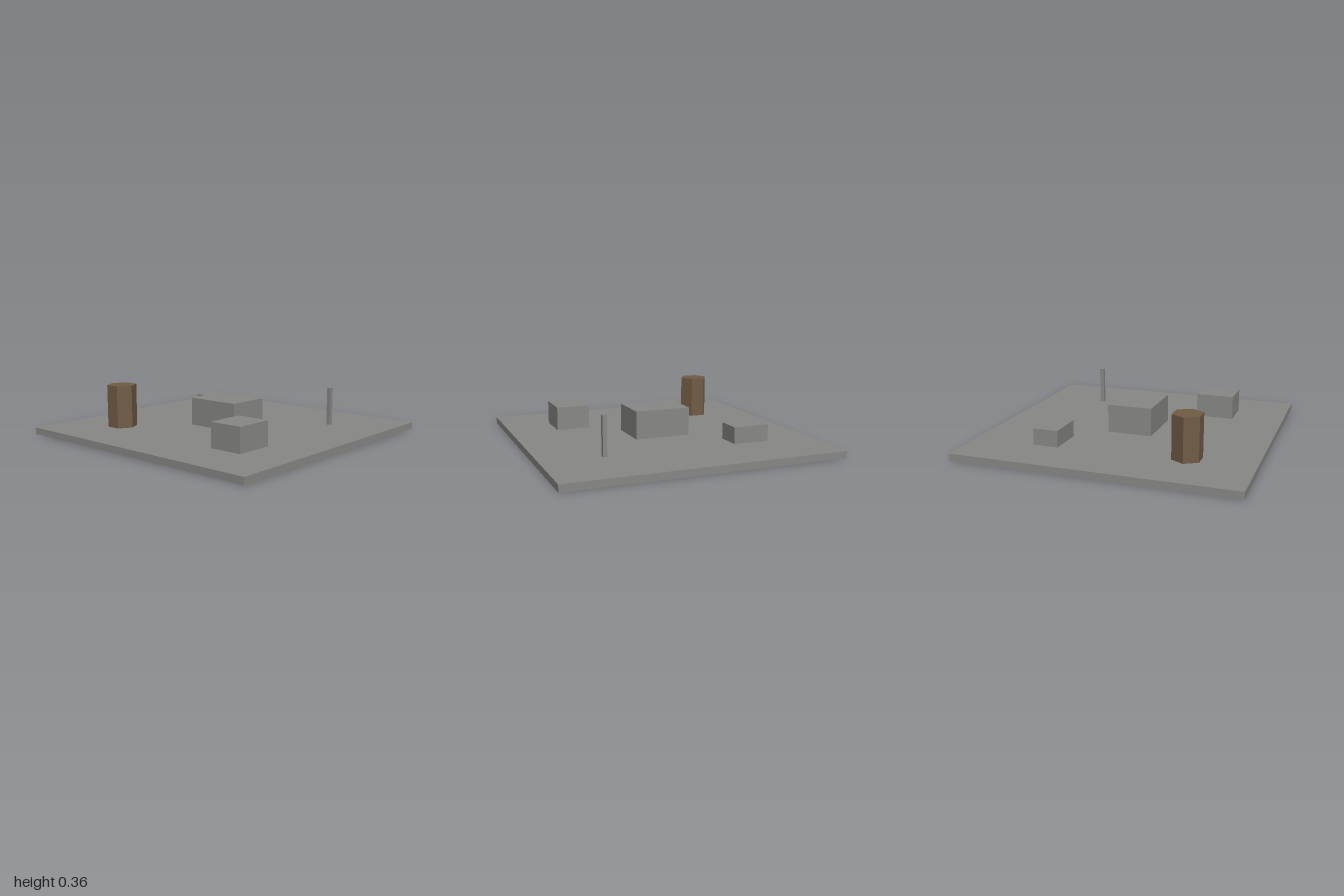
import * as THREE from 'three';

export function createModel() {
  const model = new THREE.Group();
  const stone = new THREE.MeshStandardMaterial({ color: 0x888886 });
  stone.name = 'stone grey';
  const wood = new THREE.MeshStandardMaterial({ color: 0x705c45 });
  wood.name = 'wood brown';
  const floorTop = 0.05;

  // Place a mesh so that its underside rests at height y
  function add(name, geometry, material, height, x, z, y = floorTop) {
    const mesh = new THREE.Mesh(geometry, material);
    mesh.name = name;
    mesh.position.set(x, y + height / 2, z);
    model.add(mesh);
  }
  function addBox(name, w, h, d, x, z, y) {
    add(name, new THREE.BoxGeometry(w, h, d), stone, h, x, z, y);
  }

  // Ground slab
  addBox('floor', 2, floorTop, 2, 0, 0, 0);

  // Blocks standing on the slab
  addBox('centreBlock', 0.413, 0.205, 0.328, -0.001, 0);
  addBox('backRightBlock', 0.267, 0.119, 0.183, -0.517, -0.454);
  addBox('frontLeftBlock', 0.248, 0.175, 0.281, 0.529, 0.483);
  addBox('post', 0.029, 0.279, 0.032, 0.564, -0.519);

  // Hexagonal pillar with corners pointing to the sides
  const hexagon = new THREE.CylinderGeometry(0.108, 0.108, 0.31, 6, 1, false, Math.PI / 6).toNonIndexed();
  hexagon.computeVertexNormals();
  add('hexagonalPillar', hexagon, wood, 0.31, -0.568, 0.533);

  return model;
}
